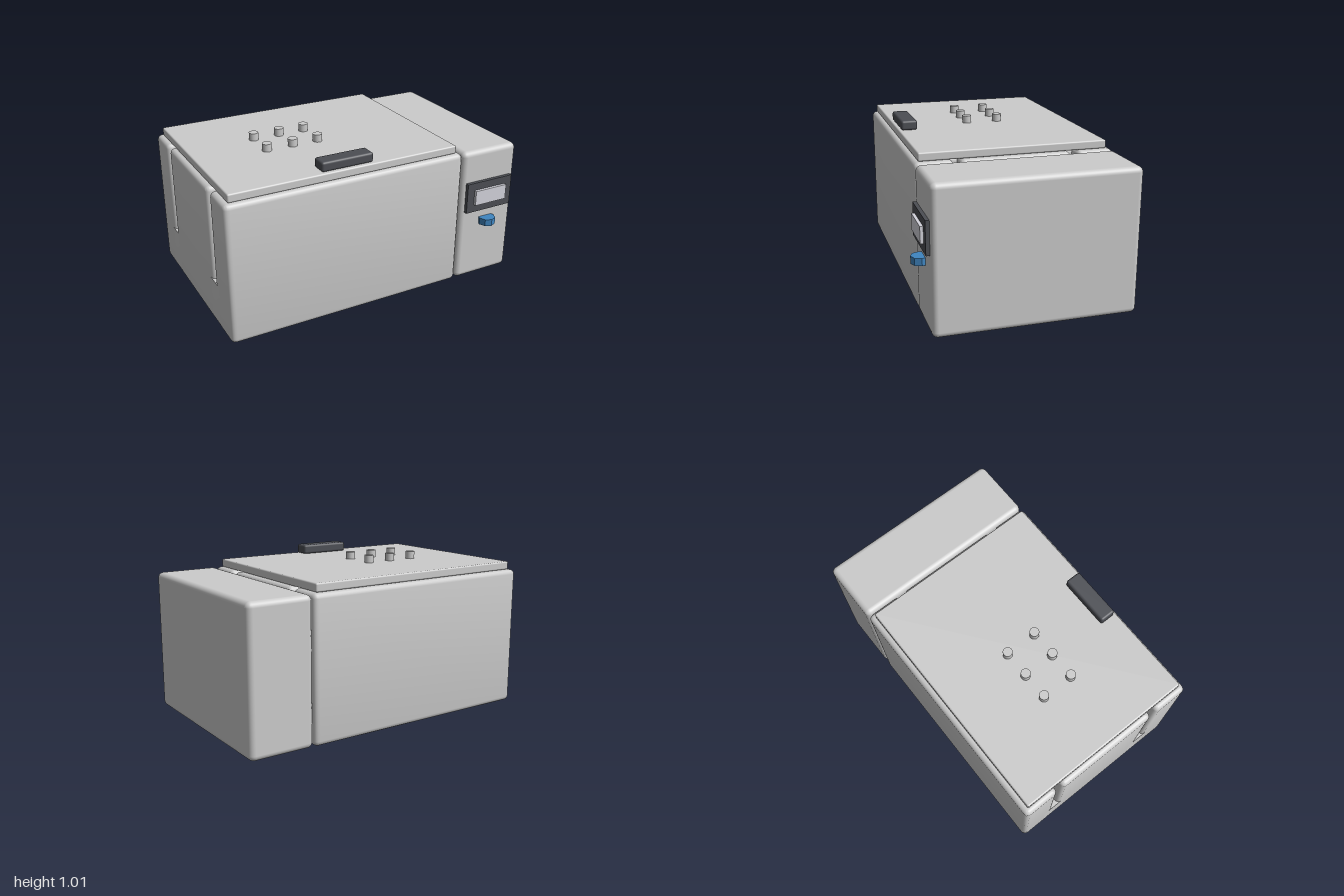
import * as THREE from 'three';
import { toCreasedNormals } from 'three/addons/utils/BufferGeometryUtils.js';
import { RoundedBoxGeometry } from 'three/addons/geometries/RoundedBoxGeometry.js';

const material = (color, flatShading = false) => new THREE.MeshStandardMaterial({ color, flatShading });
const grey = material(0xcccccc);
const dark = material(0x4c4e54);
const pale = material(0xd4d4dc);
const blue = material(0x3f85c0, true);

const BACK = -0.655, FRONT = 0.58, HEIGHT = 0.9, R = 0.035;
const LEFT = -1, RIGHT = 0.58;
const SLOT_Z = [-0.403, 0.323], SLOT_WIDTH = 0.04, SLOT_DEPTH = 0.1, SLOT_FLOOR = 0.3;

function mesh(name, geometry, mat = grey) {
  const m = new THREE.Mesh(geometry, mat);
  m.name = name;
  return m;
}

// Box given by its limits, with optional rounded edges
function block(name, [x0, x1], [y0, y1], [z0, z1], radius = 0, mat = grey) {
  const size = [x1 - x0, y1 - y0, z1 - z0];
  const geometry = radius
    ? new RoundedBoxGeometry(...size, 3, radius)
    : new THREE.BoxGeometry(...size);
  const m = mesh(name, geometry, mat);
  m.position.set((x0 + x1) / 2, (y0 + y1) / 2, (z0 + z1) / 2);
  return m;
}

// Outline through [x, y, radius] corners; radius 0 keeps a corner sharp
function roundedOutline(corners) {
  const shape = new THREE.Shape();
  const n = corners.length;
  corners.forEach(([x, y, r], i) => {
    const p = new THREE.Vector2(x, y);
    const towards = ([a, b]) => new THREE.Vector2(a, b).sub(p).setLength(r).add(p);
    const a = r ? towards(corners[(i + n - 1) % n]) : p;
    const b = r ? towards(corners[(i + 1) % n]) : p;
    if (i === 0) shape.moveTo(a.x, a.y);
    else shape.lineTo(a.x, a.y);
    if (r) shape.quadraticCurveTo(x, y, b.x, b.y);
  });
  shape.closePath();
  return shape;
}

// Plan of the tank, drawn in (x, -z), with two slots in each side
function tankGeometry() {
  const h = SLOT_WIDTH / 2;
  const slot = (x, inner, z, dir) => [
    [x, -z - dir * h, R], [inner, -z - dir * h, 0],
    [inner, -z + dir * h, 0], [x, -z + dir * h, R],
  ];
  const plan = roundedOutline([
    [LEFT, -FRONT, R], [RIGHT, -FRONT, R],
    ...slot(RIGHT, RIGHT - SLOT_DEPTH, SLOT_Z[1], 1),
    ...slot(RIGHT, RIGHT - SLOT_DEPTH, SLOT_Z[0], 1),
    [RIGHT, -BACK, R], [LEFT, -BACK, R],
    ...slot(LEFT, LEFT + SLOT_DEPTH, SLOT_Z[0], -1),
    ...slot(LEFT, LEFT + SLOT_DEPTH, SLOT_Z[1], -1),
  ]);
  const bevel = 0.03;
  const geometry = new THREE.ExtrudeGeometry(plan, {
    depth: HEIGHT - 2 * bevel, curveSegments: 5,
    bevelThickness: bevel, bevelSize: bevel, bevelOffset: -bevel, bevelSegments: 4,
  });
  geometry.rotateX(-Math.PI / 2).translate(0, bevel, 0);
  return toCreasedNormals(geometry, 0.7);
}

// Solid wall below each slot, following the rounded bottom edge
function slotFloorGeometry() {
  const width = SLOT_WIDTH + 2 * R + 0.06, depth = SLOT_DEPTH + 0.04;
  const profile = roundedOutline([
    [0, 0, R], [depth, 0, 0], [depth, SLOT_FLOOR, 0], [0, SLOT_FLOOR, 0],
  ]);
  const geometry = new THREE.ExtrudeGeometry(profile, {
    depth: width, curveSegments: 5, bevelEnabled: false,
  });
  return toCreasedNormals(geometry.translate(0, 0, -width / 2), 0.7);
}

export function createModel() {
  const model = new THREE.Group();
  model.name = 'waterBath';

  // Tank with slotted sides
  const tank = new THREE.Group();
  tank.name = 'tank';
  tank.add(mesh('tankBody', tankGeometry()));
  const floorGeometry = slotFloorGeometry();
  for (const z of SLOT_Z) {
    for (const [x, turn] of [[LEFT, 0], [RIGHT, Math.PI]]) {
      const floor = mesh('slotFloor', floorGeometry);
      floor.position.set(x, 0, z);
      floor.rotation.y = turn;
      tank.add(floor);
    }
  }
  model.add(tank);

  // Lid with handle and six pegs
  const lid = new THREE.Group();
  lid.name = 'lid';
  lid.add(block('lidPlate', [-0.965, 0.545], [0.9, 0.953], [-0.62, 0.55], 0.01));
  lid.add(block('lidHandle', [-0.38, -0.04], [0.953, 1.015], [0.43, 0.533], 0.015, dark));
  const pegGeometry = new THREE.CylinderGeometry(0.03, 0.03, 0.05, 24);
  for (const x of [-0.52, -0.347, -0.175]) {
    for (const z of [-0.14, 0.067]) {
      const peg = mesh('lidPeg', pegGeometry);
      peg.position.set(x, 0.976, z);
      lid.add(peg);
    }
  }
  model.add(lid);

  // Control housing with display and dial
  const control = new THREE.Group();
  control.name = 'controlUnit';
  control.add(block('controlHousing', [0.587, 1], [0, HEIGHT], [BACK, FRONT], R));
  control.add(block('displayFrame', [0.62, 0.963], [0.487, 0.69], [0.57, 0.603], 0, dark));
  control.add(block('displayScreen', [0.673, 0.91], [0.54, 0.64], [0.59, 0.622], 0, pale));
  const dial = mesh('dial', new THREE.CylinderGeometry(0.056, 0.056, 0.045, 8), blue);
  dial.position.set(0.79, 0.405, 0.6);
  control.add(dial);
  model.add(control);

  return model;
}
